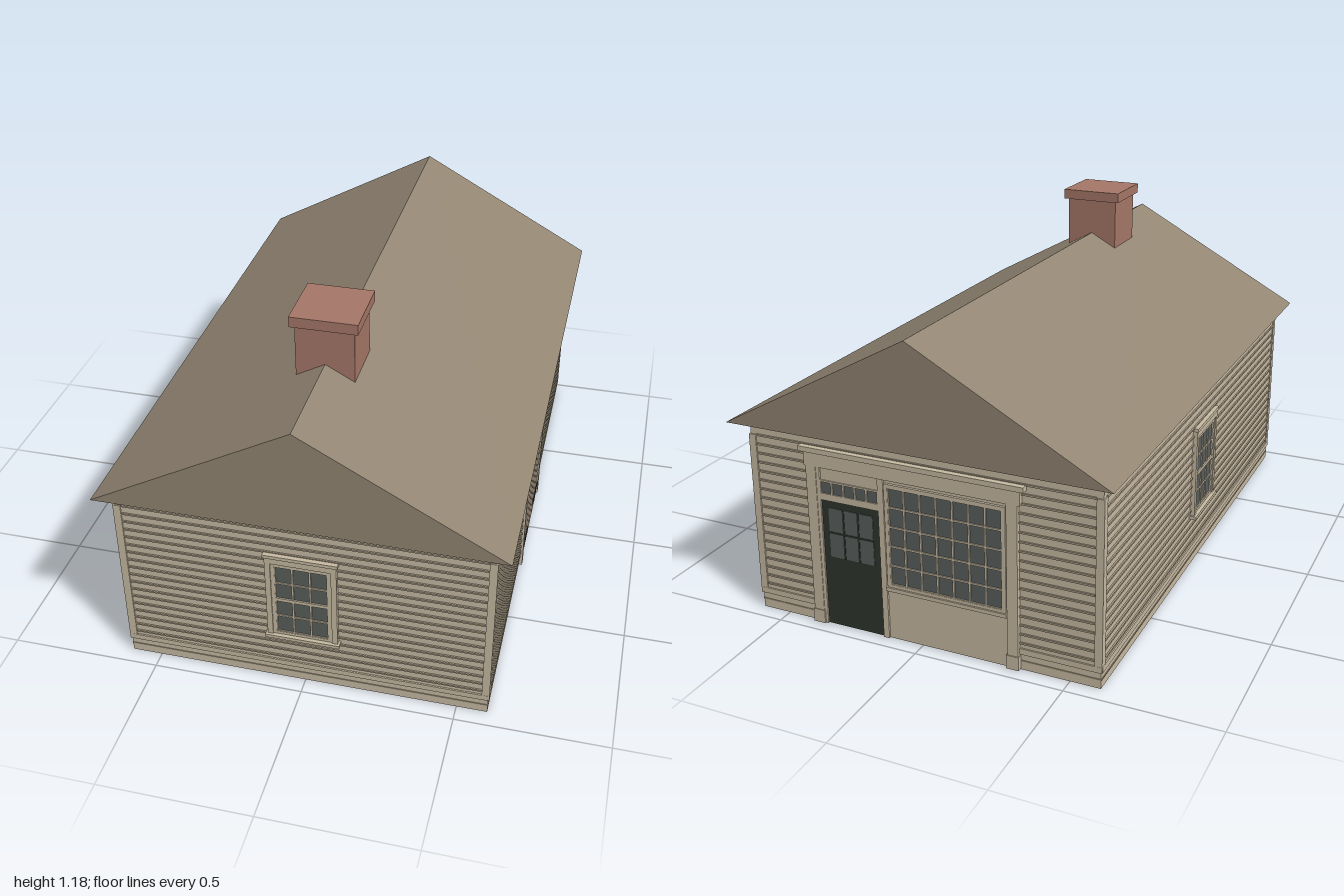
import * as THREE from 'three';

const mat = (name, color, side = THREE.FrontSide) => {
  const m = new THREE.MeshStandardMaterial({ color, side });
  m.name = name;
  return m;
};

export function createModel() {
  const siding = mat('siding tan', 0xcabca5, THREE.DoubleSide);
  const lap = mat('siding lap', 0xaea28b);
  const trim = mat('trim tan', 0xc8bba3);
  const roofMat = mat('roof brown', 0x938673);
  const brick = mat('brick', 0xa67868);
  const glass = mat('window glass', 0x5a605d);
  const plank = mat('plank door', 0x8f8271);
  const seam = mat('door seam', 0x6f6558);
  const iron = mat('hinge iron', 0x35332f);
  const darkDoor = mat('dark green door', 0x2f352e);

  const house = new THREE.Group();
  house.name = 'house';

  // Box given by its limits
  const box = (parent, name, m, x0, x1, y0, y1, z0, z1) => {
    const mesh = new THREE.Mesh(new THREE.BoxGeometry(x1 - x0, y1 - y0, z1 - z0), m);
    mesh.position.set((x0 + x1) / 2, (y0 + y1) / 2, (z0 + z1) / 2);
    mesh.name = name;
    parent.add(mesh);
    return mesh;
  };

  // One clad wall; local x runs along it and local z points outward
  const wall = (name, half, dist, angle) => {
    const g = new THREE.Group();
    g.name = name;
    const out = new THREE.Group();
    out.position.z = dist;
    g.add(out);
    g.rotation.y = angle;
    house.add(g);
    const face = new THREE.Mesh(new THREE.PlaneGeometry(half * 2, 0.67), siding);
    face.position.y = 0.335;
    face.name = name + 'Face';
    out.add(face);
    for (let i = 0; i < 18; i++) {
      const y = 0.093 + i * 0.031;
      box(out, 'clapboardLap', lap, -half + 0.022, half - 0.022, y - 0.003, y + 0.003, 0, 0.005);
    }
    box(out, 'waterTable', trim, -half, half, 0.055, 0.075, 0, 0.005);
    box(out, 'plinthLap', lap, -half, half, 0.028, 0.033, 0, 0.002);
    for (const s of [-1, 1]) {
      const c = s * (half - 0.008);
      box(out, 'cornerBoard', trim, c - 0.0125, c + 0.0125, 0.055, 0.62, 0, 0.0045);
    }
    return out;
  };

  // Glass with a grid of glazing bars
  const glazing = (p, x0, x1, y0, y1, cols, rows, z, bar = 0.006) => {
    box(p, 'glass', glass, x0, x1, y0, y1, z - 0.006, z);
    for (let i = 0; i <= cols; i++) {
      const x = x0 + ((x1 - x0) * i) / cols;
      box(p, 'glazingBar', trim, x - bar / 2, x + bar / 2, y0, y1, z, z + 0.004);
    }
    for (let j = 0; j <= rows; j++) {
      const y = y0 + ((y1 - y0) * j) / rows;
      box(p, 'glazingBar', trim, x0, x1, y - bar / 2, y + bar / 2, z, z + 0.004);
    }
  };

  // Rectangular frame round an opening
  const frame = (p, x0, x1, y0, y1, w, z) => {
    box(p, 'frameSide', trim, x0 - w, x0, y0 - w, y1 + w, 0, z);
    box(p, 'frameSide', trim, x1, x1 + w, y0 - w, y1 + w, 0, z);
    box(p, 'frameTop', trim, x0, x1, y1, y1 + w, 0, z);
    box(p, 'frameBottom', trim, x0, x1, y0 - w, y0, 0, z);
  };

  const sashWindow = (p) => {
    const g = new THREE.Group();
    g.name = 'sashWindow';
    p.add(g);
    glazing(g, -0.085, 0.085, 0.21, 0.48, 3, 4, 0.007);
    box(g, 'meetingRail', trim, -0.085, 0.085, 0.339, 0.351, 0.007, 0.012);
    frame(g, -0.085, 0.085, 0.21, 0.48, 0.012, 0.012);
    for (const s of [-1, 1]) {
      box(g, 'casing', trim, s * 0.106 - 0.009, s * 0.106 + 0.009, 0.2, 0.516, 0, 0.016);
    }
    box(g, 'headCasing', trim, -0.097, 0.097, 0.492, 0.516, 0, 0.016);
    box(g, 'windowCap', trim, -0.12, 0.12, 0.515, 0.527, 0, 0.02);
    box(g, 'windowSill', trim, -0.122, 0.122, 0.188, 0.2, 0, 0.025);
  };

  const front = wall('frontWall', 0.6, 0.945, 0);
  const doorSide = wall('doorSideWall', 0.945, 0.6, Math.PI / 2);
  const windowSide = wall('windowSideWall', 0.945, 0.6, -Math.PI / 2);
  const back = wall('backWall', 0.6, 0.945, Math.PI);
  sashWindow(front);
  sashWindow(windowSide);

  // Double plank door with strap hinges
  const barn = new THREE.Group();
  barn.name = 'doublePlankDoor';
  doorSide.add(barn);
  box(barn, 'doorLeaves', plank, -0.205, 0.205, 0.008, 0.51, 0, 0.007);
  for (const x of [-0.15, -0.1, -0.05, 0, 0.05, 0.1, 0.15]) {
    box(barn, 'plankSeam', seam, x - 0.0015, x + 0.0015, 0.01, 0.508, 0.007, 0.0075);
  }
  for (const s of [-1, 1]) {
    for (const y of [0.054, 0.464]) {
      box(barn, 'strapHinge', iron, s * 0.14 - 0.064, s * 0.14 + 0.064, y - 0.007, y + 0.007, 0.007, 0.01);
    }
    box(barn, 'doorJamb', trim, s * 0.217 - 0.013, s * 0.217 + 0.013, 0.008, 0.54, 0, 0.012);
  }
  box(barn, 'doorHead', trim, -0.205, 0.205, 0.51, 0.54, 0, 0.012);
  box(barn, 'doorCap', trim, -0.235, 0.235, 0.54, 0.552, 0, 0.018);

  // Shop front with entrance door, transom and wide display window
  const shop = new THREE.Group();
  shop.name = 'shopFront';
  back.add(shop);
  box(shop, 'shopPanel', trim, -0.39, 0.335, 0.004, 0.6, 0, 0.007);
  for (const x of [-0.39, 0.3]) {
    box(shop, 'pilaster', trim, x, x + 0.036, 0.004, 0.56, 0, 0.016);
    box(shop, 'pilasterBase', trim, x - 0.003, x + 0.039, 0.004, 0.05, 0, 0.019);
  }
  box(shop, 'frieze', trim, -0.395, 0.345, 0.555, 0.605, 0, 0.017);
  box(shop, 'cornice', trim, -0.41, 0.36, 0.603, 0.62, 0, 0.024);
  box(shop, 'entranceDoor', darkDoor, -0.342, -0.135, 0.006, 0.445, 0, 0.009);
  box(shop, 'doorGlass', glass, -0.318, -0.159, 0.25, 0.42, 0.009, 0.011);
  for (const x of [-0.265, -0.212]) {
    box(shop, 'doorBar', darkDoor, x - 0.003, x + 0.003, 0.25, 0.42, 0.011, 0.013);
  }
  box(shop, 'doorBar', darkDoor, -0.318, -0.159, 0.332, 0.338, 0.011, 0.013);
  glazing(shop, -0.342, -0.135, 0.465, 0.51, 5, 1, 0.01);
  box(shop, 'transomRail', trim, -0.342, -0.135, 0.445, 0.465, 0, 0.014);
  box(shop, 'doorPost', trim, -0.135, -0.115, 0.004, 0.555, 0, 0.014);
  box(shop, 'doorPost', trim, -0.354, -0.342, 0.004, 0.555, 0, 0.014);
  glazing(shop, -0.1, 0.285, 0.2, 0.53, 7, 5, 0.01);
  frame(shop, -0.1, 0.285, 0.2, 0.53, 0.012, 0.015);
  box(shop, 'displaySill', trim, -0.115, 0.3, 0.177, 0.19, 0, 0.02);

  // Gable roof as one solid prism
  const gable = new THREE.Shape([
    new THREE.Vector2(-0.65, 0.67),
    new THREE.Vector2(0.65, 0.67),
    new THREE.Vector2(0, 1.025),
  ]);
  const roof = new THREE.Mesh(
    new THREE.ExtrudeGeometry(gable, { depth: 2, bevelEnabled: false }), roofMat);
  roof.position.z = -1;
  roof.name = 'roof';
  house.add(roof);

  // Chimney reaching down through the ceiling
  box(house, 'chimneyStack', brick, -0.094, 0.094, 0.52, 1.15, 0.435, 0.625);
  box(house, 'chimneyCap', brick, -0.108, 0.108, 1.15, 1.185, 0.422, 0.638);

  return house;
}
